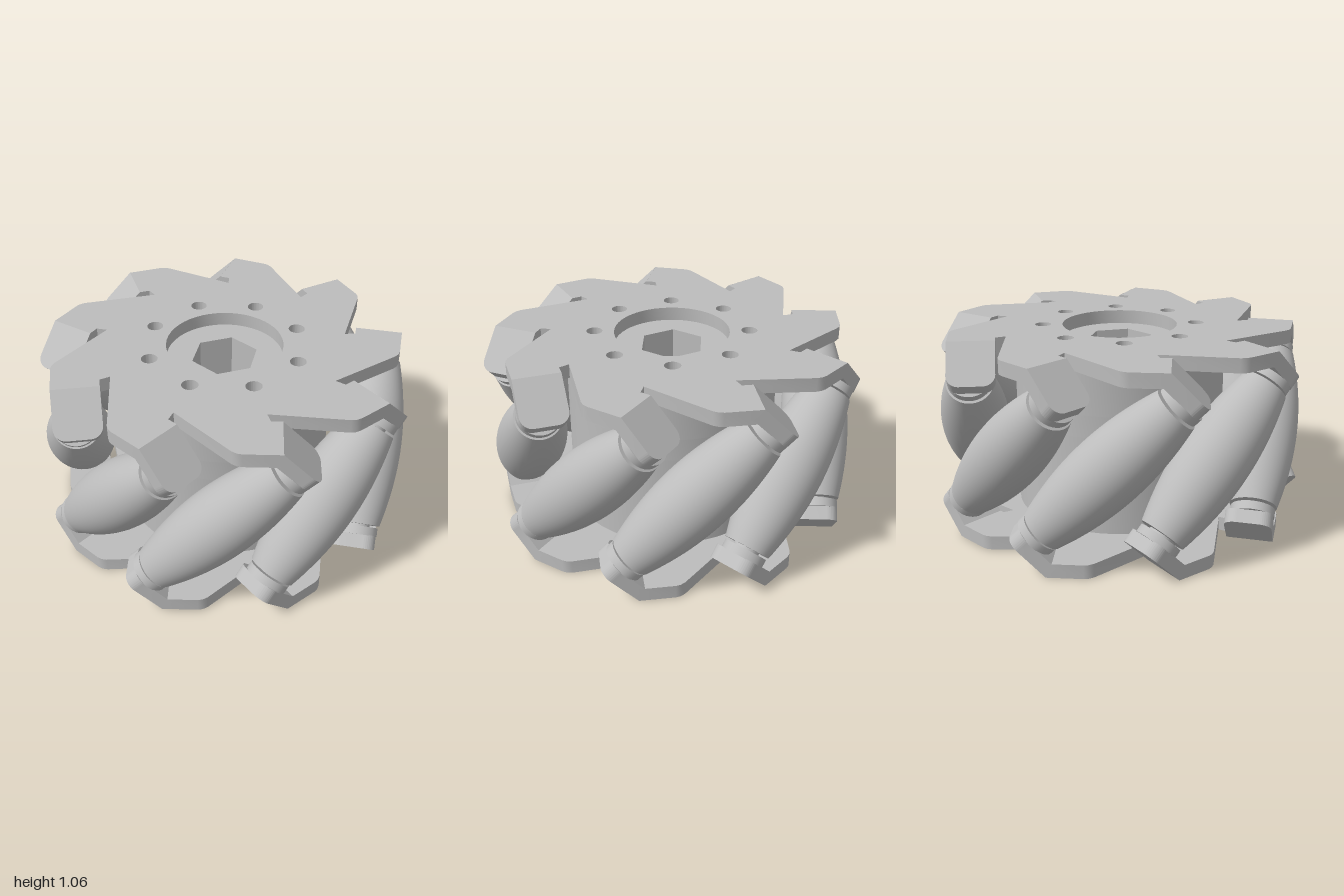
import * as THREE from 'three';
import { toCreasedNormals } from 'three/addons/utils/BufferGeometryUtils.js';

const COUNT = 9;          // rollers around the wheel
const MID = 0.53;         // half the wheel height
const THICK = 0.075;      // sheet thickness
const AXIS_R = 0.8;       // distance of the roller axes from the centre
const WHEEL_R = 0.985;
const ROLLER_HALF = 0.455;
const TAB_OUT = 0.585;    // outer face of a bent tab along the roller axis
const TAB_IN = 0.665, TAB_OUTER = 0.91; // radial limits of a tab

function circleHole(x, y, r) {
  const p = new THREE.Path();
  p.absarc(x, y, r, 0, Math.PI * 2, true);
  return p;
}

function boltHoles(sign) {
  const holes = [];
  for (let i = 0; i < 8; i++) {
    const a = sign * (-0.215 + i * Math.PI / 4);
    holes.push(circleHole(0.415 * Math.cos(a), 0.415 * Math.sin(a), 0.043));
  }
  return holes;
}

// Extrudes a shape drawn in x/z so that it spans top - depth to top in y
function slab(shape, top, depth) {
  const g = new THREE.ExtrudeGeometry(shape, { depth, bevelEnabled: false, curveSegments: 24 });
  g.rotateX(Math.PI / 2);
  g.translate(0, top, 0);
  return toCreasedNormals(g, 0.5);
}

// Star shaped side plate: one notch, bend line and slanted edge per roller
function plateGeometry(sign) {
  const bend = 0.297;
  const sector = [ // [radial, tangential] in the frame of one roller
    [0.611, 0.222], [TAB_IN, 0.24], [TAB_IN, bend], [TAB_OUTER, bend],
    [TAB_OUTER, 0.11], [0.905, 0.085], [0.89, 0.06],
  ];
  const pts = [];
  for (let k = 0; k < COUNT; k++) {
    const a = Math.PI + k * 2 * Math.PI / COUNT;
    const c = Math.cos(a), s = Math.sin(a);
    for (const [r, t] of sector) pts.push(new THREE.Vector2(r * c + t * s, r * s - t * c));
  }
  const shape = new THREE.Shape(pts);
  shape.holes.push(circleHole(0, 0, 0.31), ...boltHoles(sign));
  return slab(shape, MID, THICK);
}

// Bent tab that carries one roller end, with rounded free corners
function tabGeometry() {
  const u0 = -0.165, u1 = 0.095, r = 0.065;
  const s = new THREE.Shape();
  s.moveTo(u0, TAB_IN);
  s.lineTo(u1 - r, TAB_IN);
  s.absarc(u1 - r, TAB_IN + r, r, -Math.PI / 2, 0, false);
  s.lineTo(u1, TAB_OUTER - r);
  s.absarc(u1 - r, TAB_OUTER - r, r, 0, Math.PI / 2, false);
  s.lineTo(u0, TAB_OUTER);
  s.closePath();
  return slab(s, TAB_OUT, THICK);
}

// Barrel whose bulge follows the rolling circle of the wheel
function rollerGeometry() {
  const pts = [new THREE.Vector2(0.03, -ROLLER_HALF)];
  for (let i = 0; i <= 24; i++) {
    const s = ROLLER_HALF * (i / 12 - 1);
    pts.push(new THREE.Vector2(WHEEL_R - Math.sqrt(AXIS_R * AXIS_R + s * s / 2), s));
  }
  pts.push(new THREE.Vector2(0.03, ROLLER_HALF));
  return toCreasedNormals(new THREE.LatheGeometry(pts, 48), 0.6);
}

// One layer of the hub around a given centre opening
function hubLayer(opening, bottom, top) {
  const shape = new THREE.Shape();
  shape.absarc(0, 0, 0.57, 0, Math.PI * 2, false);
  shape.holes.push(opening, ...boltHoles(1));
  return slab(shape, top, top - bottom);
}

export function createModel() {
  const model = new THREE.Group();
  model.name = 'rollerWheel';
  const metal = new THREE.MeshStandardMaterial({ color: 0xbcbcbc });
  metal.name = 'lightGrey';

  const add = (parent, name, geometry) => {
    const mesh = new THREE.Mesh(geometry, metal);
    mesh.name = name;
    parent.add(mesh);
    return mesh;
  };

  // Side plates
  const topPlate = add(model, 'topPlate', plateGeometry(1));
  topPlate.position.y = MID;
  const bottomPlate = add(model, 'bottomPlate', plateGeometry(-1));
  bottomPlate.position.y = MID;
  bottomPlate.rotation.x = Math.PI;

  // Hub: round bore below, thin web, hexagonal socket above
  const hexPts = [];
  for (let i = 0; i < 6; i++) {
    const a = -0.165 - i * Math.PI / 3;
    hexPts.push(new THREE.Vector2(0.18 * Math.cos(a), 0.18 * Math.sin(a)));
  }
  const hub = new THREE.Group();
  hub.name = 'hub';
  model.add(hub);
  add(hub, 'hubBore', hubLayer(circleHole(0, 0, 0.145), THICK, 0.6));
  add(hub, 'hubWeb', hubLayer(circleHole(0, 0, 0.06), 0.6, 0.72));
  add(hub, 'hubSocket', hubLayer(new THREE.Path(hexPts), 0.72, 2 * MID - THICK));

  // Rollers with their pins, washers and tabs
  const rollerGeo = rollerGeometry();
  const tabGeo = tabGeometry();
  const pinGeo = new THREE.CylinderGeometry(0.07, 0.07, 1.06, 24);
  const washerGeo = new THREE.CylinderGeometry(0.115, 0.115, 0.045, 36);
  for (let k = 0; k < COUNT; k++) {
    const station = new THREE.Group();
    station.name = 'rollerStation';
    station.rotation.y = -Math.PI / 2 - k * 2 * Math.PI / COUNT;
    station.position.y = MID;
    model.add(station);

    const axle = new THREE.Group();
    axle.name = 'axle';
    axle.rotation.z = -Math.PI / 4;
    station.add(axle);
    add(axle, 'roller', rollerGeo).position.z = AXIS_R;
    add(axle, 'pin', pinGeo).position.z = AXIS_R;

    for (const flip of [0, Math.PI]) {
      const end = new THREE.Group();
      end.name = flip ? 'lowerMount' : 'upperMount';
      end.rotation.z = flip;
      axle.add(end);
      add(end, 'tab', tabGeo);
      add(end, 'washer', washerGeo).position.set(0, 0.49, AXIS_R);
    }
  }
  return model;
}
